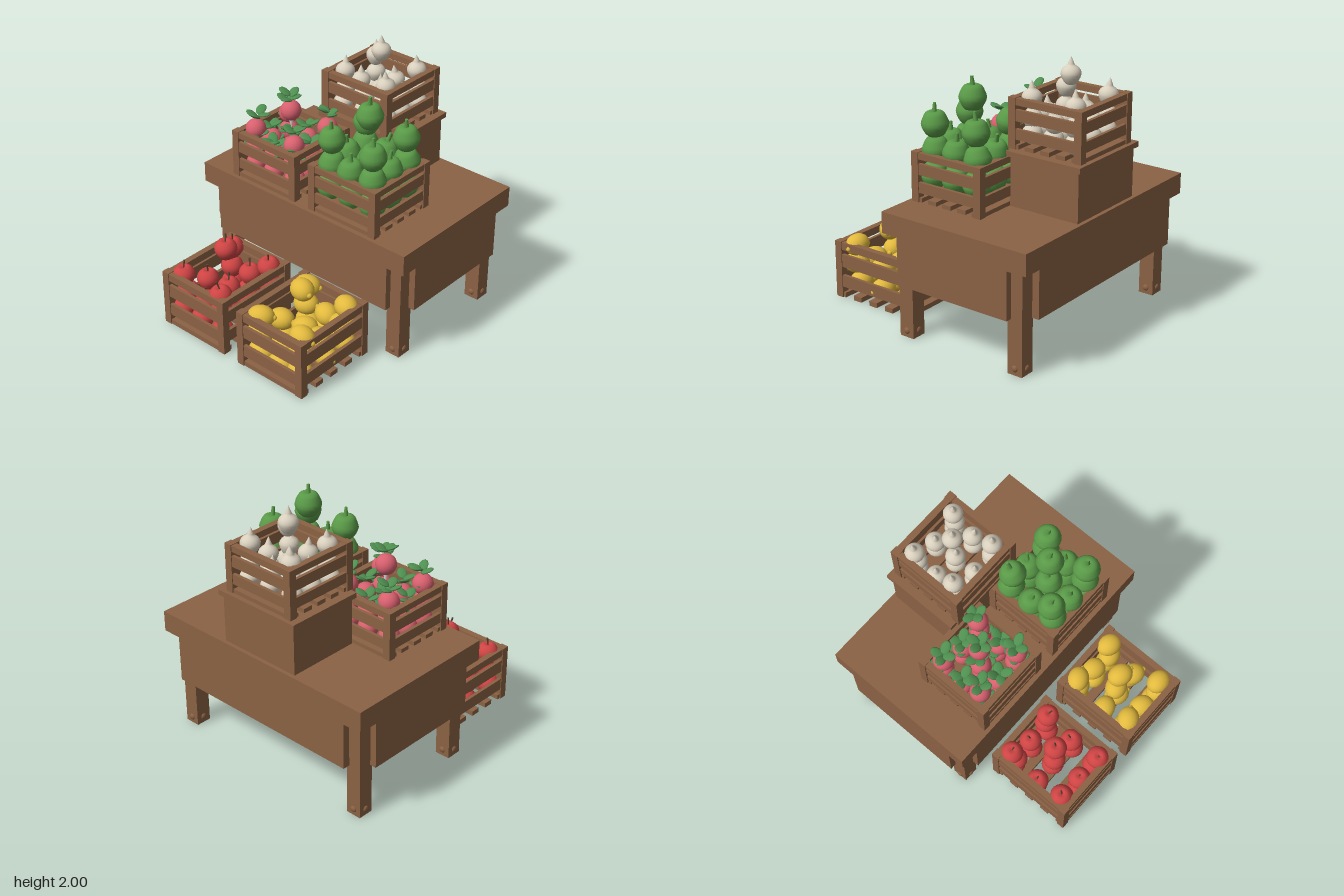
import * as THREE from 'three';

const mat = (color, side = THREE.FrontSide) => new THREE.MeshStandardMaterial({ color, side });
const WOOD = mat(0x8b6244), RED = mat(0xcf4444), YELLOW = mat(0xe2ba3e), GREEN = mat(0x5a9a48),
  PINK = mat(0xd8606e), CREAM = mat(0xd8cfbd), LEAF = mat(0x4f8f50), STEM = mat(0x5a4630),
  WHITE = mat(0xeee8e4);

let seed = 7;
const rand = () => (seed = (seed * 16807) % 2147483647) / 2147483647;
const jitter = (a) => (rand() * 2 - 1) * a;

function add(parent, name, geometry, material, x = 0, y = 0, z = 0) {
  const m = new THREE.Mesh(geometry, material);
  m.name = name;
  m.position.set(x, y, z);
  parent.add(m);
  return m;
}

// Box given by its limits on each axis
function block(parent, name, x0, x1, y0, y1, z0, z1) {
  return add(parent, name, new THREE.BoxGeometry(x1 - x0, y1 - y0, z1 - z0), WOOD,
    (x0 + x1) / 2, (y0 + y1) / 2, (z0 + z1) / 2);
}

// Smooth lathe through a few [radius, height] points
function turned(points, steps = 14, sides = 18) {
  const curve = new THREE.SplineCurve(points.map(([r, y]) => new THREE.Vector2(r, y)));
  const profile = curve.getPoints(steps).map((p) => new THREE.Vector2(Math.max(p.x, 0), p.y));
  return new THREE.LatheGeometry(profile, sides);
}

const appleBody = turned([[0, -0.072], [0.045, -0.07], [0.083, -0.01], [0.078, 0.04], [0.04, 0.078], [0, 0.066]]);
const lemonBody = new THREE.SphereGeometry(1, 18, 14).scale(0.1, 0.08, 0.083);
const lemonNub = new THREE.SphereGeometry(0.02, 10, 8);
const pepperBody = turned([[0, -0.083], [0.055, -0.085], [0.085, -0.045], [0.1, 0.0], [0.085, 0.045], [0.065, 0.08], [0.03, 0.092], [0, 0.082]]);
const radishBody = new THREE.SphereGeometry(0.077, 18, 14);
const radishRoot = new THREE.ConeGeometry(0.022, 0.09, 10).rotateX(Math.PI);
const leafBlade = new THREE.SphereGeometry(1, 10, 8).scale(0.052, 0.012, 0.037);
const onionBody = turned([[0, -0.073], [0.04, -0.061], [0.072, 0], [0.06, 0.042], [0.028, 0.068], [0.02, 0.085], [0, 0.13]], 18);
const thinStem = new THREE.CylinderGeometry(0.007, 0.005, 0.07, 8);
const thickStem = new THREE.CylinderGeometry(0.011, 0.018, 0.07, 10);

const produce = {
  apple(g) {
    add(g, 'appleBody', appleBody, RED);
    add(g, 'appleStem', thinStem, STEM, 0.006, 0.095, 0).rotation.z = -0.2;
  },
  lemon(g) {
    add(g, 'lemonBody', lemonBody, YELLOW);
    add(g, 'lemonTip', lemonNub, YELLOW, 0.095, 0, 0);
  },
  pepper(g) {
    add(g, 'pepperBody', pepperBody, GREEN);
    add(g, 'pepperStem', thickStem, GREEN, 0.004, 0.115, 0).rotation.z = -0.12;
  },
  radish(g) {
    add(g, 'radishBody', radishBody, PINK);
    add(g, 'radishRoot', radishRoot, WHITE, 0, -0.105, 0);
    for (let i = 0; i < 4; i++) {
      const a = i * Math.PI / 2 + 0.4;
      const leaf = add(g, 'radishLeaf', leafBlade, LEAF,
        0.047 * Math.cos(a), 0.105 + 0.012 * i, -0.047 * Math.sin(a));
      leaf.rotation.set(0, a, 0.35 + 0.15 * (i % 2));
    }
  },
  onion(g) {
    add(g, 'onionBody', onionBody, CREAM);
  },
};

// One piece of produce with a slight turn
function piece(parent, kind, x, y, z, tilt = 0.12) {
  const g = new THREE.Group();
  g.name = kind;
  produce[kind](g);
  g.position.set(x, y, z);
  const yaw = kind === 'lemon' ? jitter(0.5) : rand() * 6.28;
  g.rotation.set(jitter(tilt), yaw, jitter(tilt));
  parent.add(g);
}

// Slatted crate: corner posts, side slats, top rim and floor slats
function crate(name, w, h, d) {
  const g = new THREE.Group();
  g.name = name;
  const X = w / 2, Z = d / 2, p = 0.06, t = 0.025, inset = 0.006;
  for (const sx of [-1, 1]) for (const sz of [-1, 1]) {
    add(g, 'cornerPost', new THREE.BoxGeometry(p, h, p), WOOD, sx * (X - p / 2), h / 2, sz * (Z - p / 2));
  }
  const slats = [[0.86, 0.99, p - 0.012], [0.55, 0.775, t], [0.19, 0.4, t]];
  for (const [a, b, depth] of slats) for (const s of [-1, 1]) {
    const y = h * (a + b) / 2, hh = h * (b - a);
    add(g, 'frontBackSlat', new THREE.BoxGeometry(w - p, hh, depth), WOOD, 0, y, s * (Z - inset - depth / 2));
    add(g, 'sideSlat', new THREE.BoxGeometry(depth, hh, d - p), WOOD, s * (X - inset - depth / 2), y, 0);
  }
  for (let i = 0; i < 5; i++) {
    const z = (i / 4 - 0.5) * (d - 0.09);
    add(g, 'floorSlat', new THREE.BoxGeometry(w - 0.02, h * 0.085, 0.075), WOOD, 0, h * 0.0425, z);
  }
  return g;
}

// Crate filled with two full layers, four corner pieces and one on top
function filledCrate(kind, x, y, z, [w, h, d], levels, gapX, gapZ) {
  const g = crate(kind + 'Crate', w, h, d);
  g.position.set(x, y, z);
  const wobble = kind === 'apple' || kind === 'lemon' ? 0.02 : 0.008;
  levels.forEach((level, n) => {
    for (const i of [-1, 0, 1]) for (const j of [-1, 0, 1]) {
      const corner = i !== 0 && j !== 0, middle = i === 0 && j === 0;
      if ((n === 2 && !corner) || (n === 3 && !middle)) continue;
      const k = n === 3 ? 0 : wobble;
      piece(g, kind, i * gapX + jitter(k), level - y + jitter(k / 2), j * gapZ + jitter(k), n === 3 ? 0.03 : 0.12);
    }
  });
  return g;
}

function table() {
  const g = new THREE.Group();
  g.name = 'table';
  block(g, 'tableTop', -0.97, 0.97, 0.79, 0.95, -0.99, 0.25);
  block(g, 'frontApron', -0.82, 0.82, 0.43, 0.79, 0.2, 0.25);
  block(g, 'backApron', -0.82, 0.82, 0.43, 0.79, -0.99, -0.935);
  for (const s of [-1, 1]) {
    add(g, 'sideApron', new THREE.BoxGeometry(0.05, 0.36, 0.95), WOOD, s * 0.945, 0.61, -0.36);
    for (const z of [0.11, -0.845]) {
      add(g, 'leg', new THREE.BoxGeometry(0.12, 0.79, 0.12), WOOD, s * 0.83, 0.395, z);
      // Round studs on the faces of the foot
      for (let i = 0; i < 4; i++) {
        const a = i * Math.PI / 2;
        const stud = add(g, 'footStud', new THREE.SphereGeometry(0.025, 10, 8), WOOD,
          s * 0.83 + 0.058 * Math.cos(a), 0.05, z + 0.058 * Math.sin(a));
        stud.scale.set(i % 2 ? 1 : 0.6, 1, i % 2 ? 0.6 : 1);
      }
    }
  }
  // Raised stand at the back
  block(g, 'standBody', -0.34, 0.34, 0.95, 1.32, -0.96, -0.39);
  block(g, 'standTop', -0.365, 0.365, 1.32, 1.36, -0.985, -0.37);
  return g;
}

export function createModel() {
  const model = new THREE.Group();
  model.name = 'marketStall';
  const small = [0.62, 0.37, 0.61], large = [0.62, 0.45, 0.71];
  model.add(
    table(),
    filledCrate('radish', -0.38, 0.95, -0.085, small, [1.05, 1.17, 1.32, 1.475], 0.19, 0.18),
    filledCrate('pepper', 0.37, 0.95, -0.085, small, [1.14, 1.33, 1.515, 1.695], 0.19, 0.185),
    filledCrate('onion', 0, 1.36, -0.65, small, [1.46, 1.57, 1.71, 1.87], 0.195, 0.18),
    filledCrate('apple', -0.38, 0.005, 0.63, large, [0.115, 0.265, 0.415, 0.61], 0.19, 0.24),
    filledCrate('lemon', 0.375, 0.005, 0.63, large, [0.115, 0.265, 0.42, 0.605], 0.185, 0.24),
  );
  return model;
}
